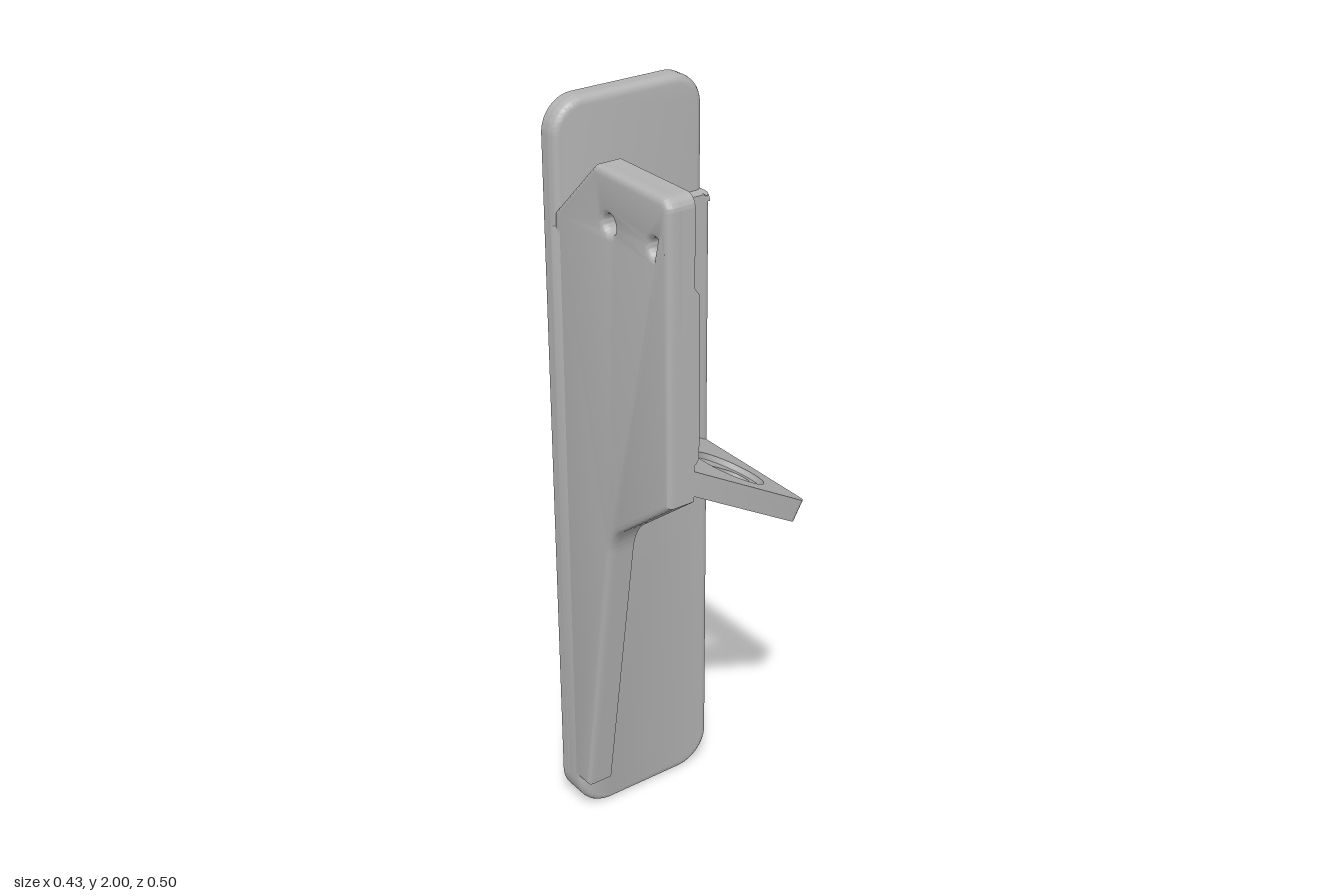
import * as THREE from 'three';
import { toCreasedNormals } from 'three/addons/utils/BufferGeometryUtils.js';

export function createModel() {
  const model = new THREE.Group();
  const grey = new THREE.MeshStandardMaterial({ color: 0xb2b2b2 });
  grey.name = 'plain grey';

  function add(name, geometry, parent = model) {
    const mesh = new THREE.Mesh(toCreasedNormals(geometry, 0.6), grey);
    mesh.name = name;
    parent.add(mesh);
    return mesh;
  }

  // Extrusion whose bevel stays inside the outline and the depth
  function extrude(shape, depth, bevel = 0, segments = 3) {
    const g = new THREE.ExtrudeGeometry(shape, {
      depth: depth - 2 * bevel, curveSegments: 16, bevelEnabled: bevel > 0,
      bevelThickness: bevel, bevelSize: bevel, bevelOffset: -bevel, bevelSegments: segments,
    });
    return g.translate(0, 0, bevel);
  }

  // Outline drawn in (z, y), given thickness from x0 to x1
  function sideways(shape, x0, x1, bevel) {
    return extrude(shape, x1 - x0, bevel).rotateY(-Math.PI / 2).translate(x1, 0, 0);
  }

  const polygon = (pts) => new THREE.Shape(pts.map(([a, b]) => new THREE.Vector2(a, b)));

  function circle(x, y, r) {
    const p = new THREE.Path();
    p.absarc(x, y, r, 0, Math.PI * 2, true);
    return p;
  }

  // Back plate: chamfered rear, rounded front, thicker below the step
  function plateShape(top, topRadius) {
    const w = 0.215, b = 0.1, r = topRadius, s = new THREE.Shape();
    s.moveTo(-w + b, 0);
    s.lineTo(w - b, 0);
    s.absarc(w - b, b, b, -Math.PI / 2, 0);
    s.lineTo(w, top - r);
    s.absarc(w - r, top - r, r, 0, Math.PI / 2);
    s.lineTo(-w + r, top);
    s.absarc(-w + r, top - r, r, Math.PI / 2, Math.PI);
    s.lineTo(-w, b);
    s.absarc(-w + b, b, b, Math.PI, Math.PI * 1.5);
    return s;
  }
  add('plateRear', extrude(plateShape(2, 0.085), 0.04, 0.01, 1).translate(0, 0, -0.25));
  add('plateUpper', extrude(plateShape(2, 0.085), 0.05, 0.02, 4).translate(0, 0, -0.24));
  add('plateLower', extrude(plateShape(1.7, 0.004), 0.085, 0.02, 4).translate(0, 0, -0.24));
  add('plateStep', new THREE.BoxGeometry(0.39, 0.04, 0.05).translate(0, 1.68, -0.18));

  // Side wall: outer skin and a stepped inner layer, both with screw holes
  function wallShape(inner) {
    const s = new THREE.Shape();
    s.moveTo(-0.2, 0.11);
    s.lineTo(-0.12, 0.11);
    s.lineTo(0.0, 0.89);
    s.quadraticCurveTo(0.01, 0.955, 0.05, 0.985);
    s.lineTo(0.25, 1.14);
    s.lineTo(0.25, 1.87);
    s.absarc(0.22, 1.87, 0.03, 0, Math.PI / 2);
    s.lineTo(-0.03, 1.9);
    if (inner) {
      s.lineTo(-0.035, 1.66);
      s.lineTo(-0.2, 1.66);
    } else {
      s.lineTo(-0.19, 1.745);
      s.lineTo(-0.2, 1.735);
    }
    for (const z of [0.2, 0.025]) s.holes.push(circle(z, 1.775, 0.023));
    return s;
  }
  add('wallOuter', sideways(wallShape(false), -0.215, -0.16, 0.015));
  const innerWall = wallShape(true);
  innerWall.holes.push(polygon([[-0.17, 1.3], [-0.17, 1.45], [0.025, 1.45], [0.025, 1.3]]));
  add('wallInner', sideways(innerWall, -0.195, -0.14, 0));

  // Raised lining with a rectangular recess at its rear edge
  add('wallLining', sideways(polygon([
    [-0.033, 1.25], [0.25, 1.25], [0.25, 1.66], [-0.033, 1.66],
    [-0.033, 1.45], [0.025, 1.45], [0.025, 1.3], [-0.033, 1.3],
  ]), -0.142, -0.126, 0));
  add('liningLip', extrude(polygon([
    [-0.142, 1.66], [-0.126, 1.66], [-0.14, 1.68], [-0.142, 1.68],
  ]), 0.283).translate(0, 0, -0.033));
  add('liningFoot', extrude(polygon([
    [-0.142, 1.25], [-0.142, 1.235], [-0.134, 1.238], [-0.126, 1.25],
  ]), 0.283).translate(0, 0, -0.033));

  // Concave fillet between wall and plate
  const fillet = new THREE.Shape();
  fillet.moveTo(-0.15, 0.165);
  fillet.lineTo(-0.123, 0.165);
  fillet.lineTo(-0.123, 0.155);
  fillet.quadraticCurveTo(-0.14, 0.155, -0.14, 0.138);
  fillet.lineTo(-0.15, 0.138);
  for (const [y0, y1] of [[0.11, 1.3], [1.45, 1.66]]) {
    add('wallFillet', extrude(fillet, y1 - y0).rotateX(-Math.PI / 2).translate(0, y0, 0));
  }

  // Sloping shelf: drawn in (distance down the slope, -z)
  const shelf = new THREE.Group();
  shelf.name = 'shelf';
  shelf.position.set(-0.14, 1.22, 0);
  shelf.rotation.z = -Math.atan2(0.2, 0.35);
  model.add(shelf);

  function shelfShape(hole) {
    const end = 0.403, front = -0.249, r = 0.03, s = new THREE.Shape();
    s.moveTo(-0.03, front);
    s.lineTo(end - r, front);
    s.absarc(end - r, front + r, r, -Math.PI / 2, 0);
    s.lineTo(end, 0.17);
    s.lineTo(-0.03, 0.17);
    s.holes.push(hole);
    return s;
  }
  const slot = new THREE.Path();
  slot.absarc(0.214, -0.107, 0.038, Math.PI * 1.5, Math.PI / 2, true);
  slot.absarc(0.278, -0.107, 0.038, Math.PI / 2, -Math.PI / 2, true);
  add('shelfBase', extrude(shelfShape(slot), 0.043)
    .rotateX(-Math.PI / 2).translate(0, -0.058, 0), shelf);
  add('shelfTop', extrude(shelfShape(circle(0.248, -0.107, 0.093)), 0.015)
    .rotateX(-Math.PI / 2).translate(0, -0.015, 0), shelf);

  return model;
}
